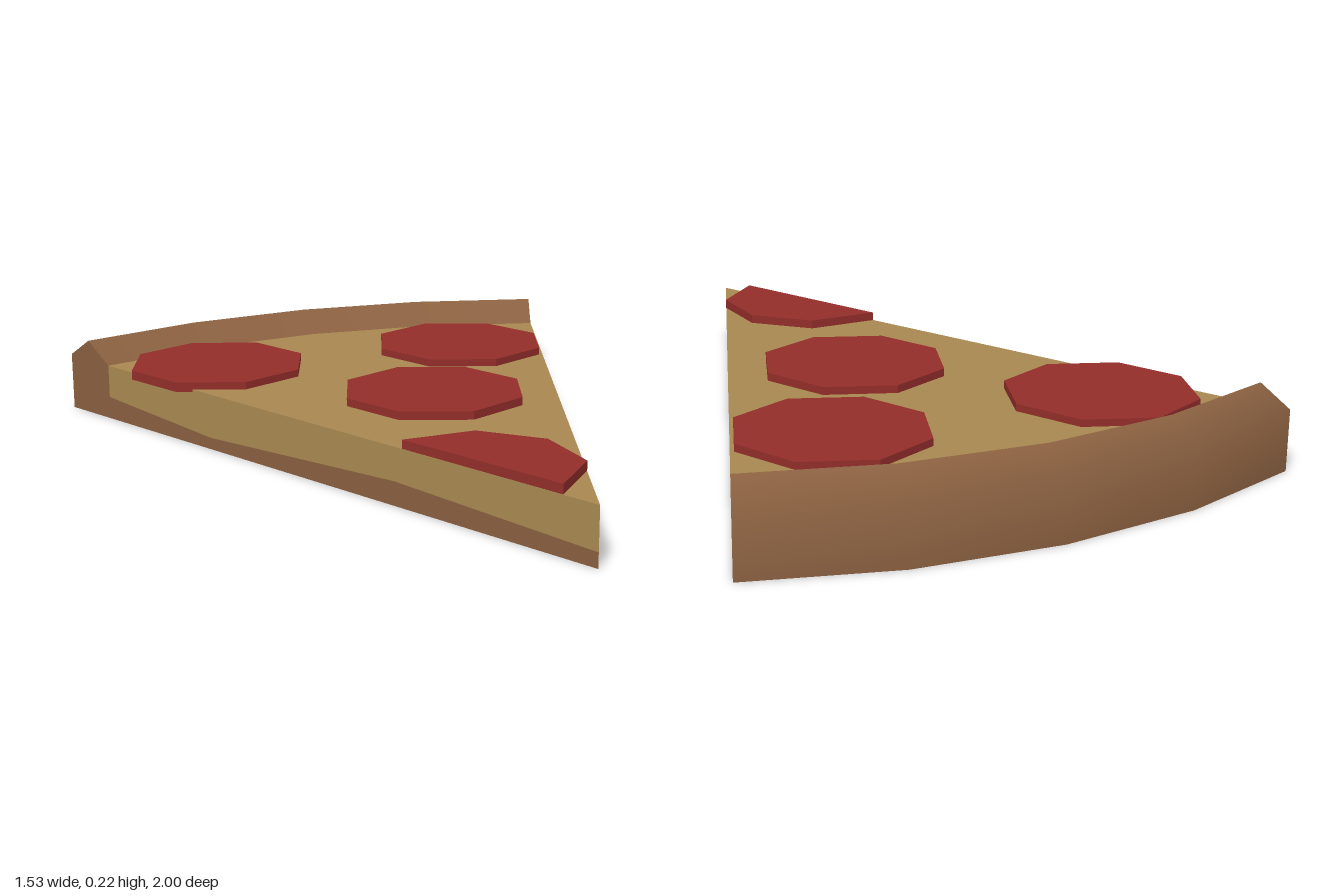
import * as THREE from 'three';

const HALF = Math.PI / 8;          // half the wedge angle
const TIP_Z = 1;                   // the wedge centre lies at the tip

const crustMat = new THREE.MeshStandardMaterial({ color: 0x8a6040 });
const cheeseMat = new THREE.MeshStandardMaterial({ color: 0xa88850 });
const meatMat = new THREE.MeshStandardMaterial({ color: 0x922d2a, flatShading: true });

const vectors = (pts) => pts.map(([x, y]) => new THREE.Vector2(x, y));

export function createModel() {
  const model = new THREE.Group();

  const add = (name, geometry, material) => {
    const mesh = new THREE.Mesh(geometry, material);
    mesh.name = name;
    model.add(mesh);
    return mesh;
  };

  // Sweep a (radius, height) profile through the wedge, four facets wide
  const sweep = (name, profile, material) => {
    const geometry = new THREE.LatheGeometry(vectors(profile), 4, Math.PI - HALF, 2 * HALF);
    add(name, geometry, material).position.z = TIP_Z;
  };

  // Place a flat (radius, height) outline on both cut sides
  const cutFaces = (name, outline, material) => {
    for (const s of [1, -1]) {
      const shape = new THREE.Shape(vectors(outline.map(([r, y]) => [s * r, y])));
      const mesh = add((s > 0 ? 'left' : 'right') + name, new THREE.ShapeGeometry(shape), material);
      mesh.rotation.y = s * (Math.PI / 2 - HALF);
      mesh.position.z = TIP_Z;
    }
  };

  // Dough underside, rim and cheese top
  sweep('doughBottom', [[0, 0], [2, 0]], crustMat);
  sweep('crustOuter', [[2, 0], [2, 0.165], [1.913, 0.22]], crustMat);
  sweep('crustInner', [[1.913, 0.22], [1.82, 0.16]], crustMat);
  sweep('cheeseTop', [[1.82, 0.16], [0, 0.153]], cheeseMat);

  // Cut sides: wavy line between dough and cheese
  const wave = [[0, 0.04], [0.65, 0.065], [1.36, 0.033], [1.82, 0.065]];
  cutFaces('DoughSide', [
    [0, 0], [2, 0], [2, 0.165], [1.913, 0.22], [1.82, 0.16], ...[...wave].reverse(),
  ], crustMat);
  cutFaces('CheeseSide', [...wave, [1.82, 0.16], [0, 0.153]], cheeseMat);

  // Whole octagonal sausage slices
  const bottom = 0.152, thick = 0.027;
  for (const [x, z] of [[-0.41, -0.525], [0.345, -0.48], [0.04, 0.005]]) {
    const disc = add('sausageSlice', new THREE.CylinderGeometry(0.257, 0.257, thick, 8), meatMat);
    disc.position.set(x, bottom + thick / 2, z);
  }

  // Sausage slice trimmed by both cut sides near the tip
  const trimmed = new THREE.Shape(vectors([
    [-0.237, -0.425], [-0.04, -0.9], [0.098, -0.765], [0.098, -0.565], [-0.035, -0.425],
  ]));
  const trimmedGeo = new THREE.ExtrudeGeometry(trimmed, { depth: thick, bevelEnabled: false });
  trimmedGeo.rotateX(-Math.PI / 2);
  add('trimmedSausageSlice', trimmedGeo, meatMat).position.y = bottom;

  return model;
}
